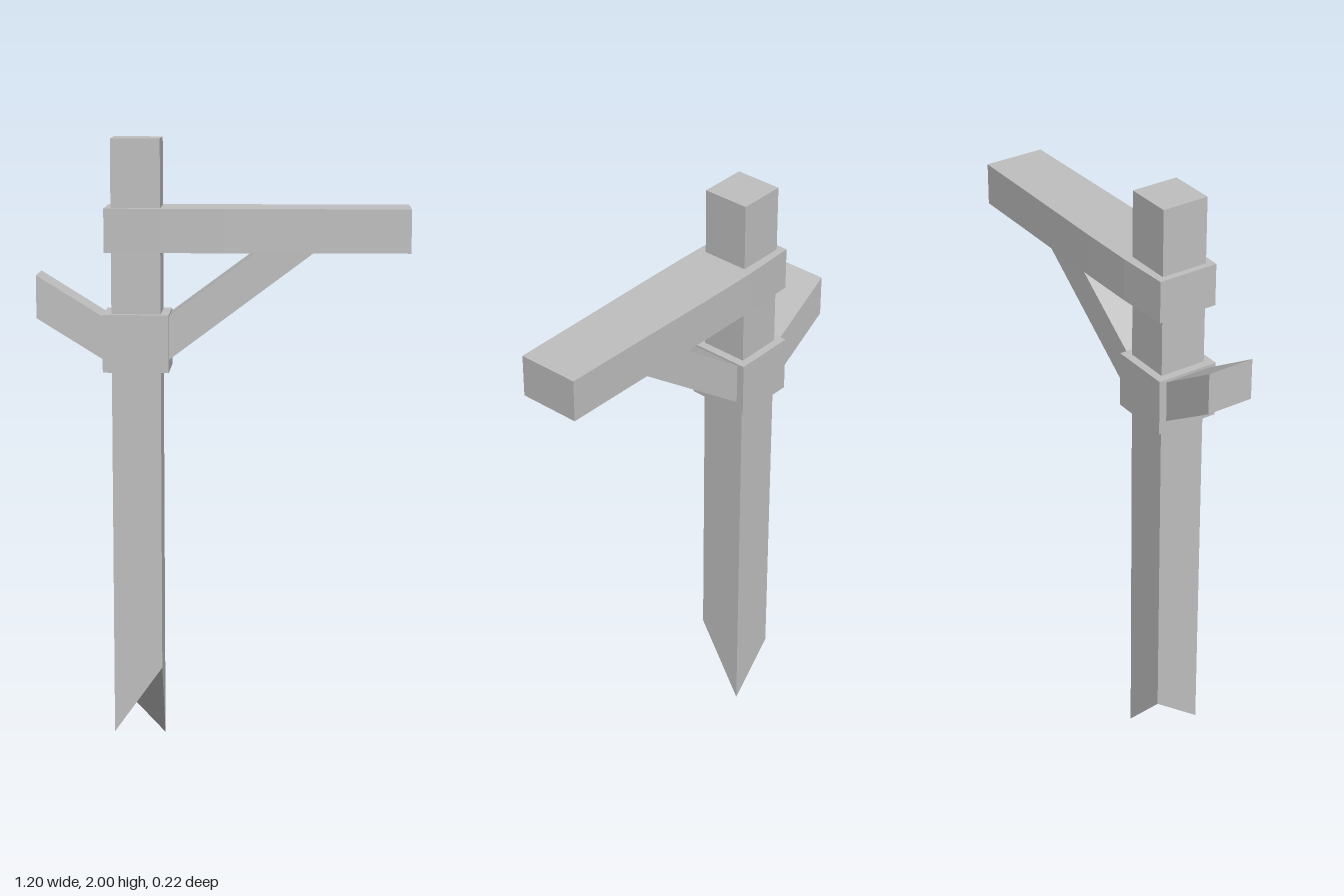
import * as THREE from 'three';

export function createModel() {
  const group = new THREE.Group();
  group.name = 'signpost';
  const wood = new THREE.MeshStandardMaterial({ color: 0xc0c0c0, flatShading: true });
  wood.name = 'plain grey';

  const POST_X = -0.28;
  const HALF = 0.079;

  function add(name, geometry, x = 0, y = 0, z = 0) {
    const mesh = new THREE.Mesh(geometry, wood);
    mesh.name = name;
    mesh.position.set(x, y, z);
    group.add(mesh);
  }

  // Extrudes a polygon of [x, y] points, centred on z = 0
  function prism(points, depth) {
    const shape = new THREE.Shape(points.map(([x, y]) => new THREE.Vector2(x, y)));
    return new THREE.ExtrudeGeometry(shape, { depth, bevelEnabled: false }).translate(0, 0, -depth / 2);
  }

  // Square post, its foot broken off at a different height on each corner
  const post = new THREE.BoxGeometry(HALF * 2, 2, HALF * 2).translate(0, 1, 0);
  const pos = post.attributes.position;
  for (let i = 0; i < pos.count; i++) {
    if (pos.getY(i) > 1) continue;
    const left = pos.getX(i) > 0, front = pos.getZ(i) > 0;
    pos.setY(i, front ? (left ? 0.27 : 0.05) : (left ? 0 : 0.17));
  }
  post.computeVertexNormals();
  add('post', post, POST_X);

  // Sign arm, slightly wider around the post than at its ends
  const outline = [[-0.38, 0.102], [-0.2, 0.109], [0, 0.109], [0.39, 0.104], [0.597, 0.102]];
  const plan = [...outline.map(([x, z]) => [x, -z]), ...outline.slice().reverse()];
  add('arm', prism(plan, 0.14).rotateX(-Math.PI / 2), 0, 1.71);

  // Collar holding the braces
  add('collar', new THREE.BoxGeometry(0.212, 0.186, 0.21), POST_X, 1.348);

  // Long brace reaching the underside of the arm
  add('brace', prism([[-0.18, 1.29], [0.29, 1.64], [0.105, 1.64], [-0.18, 1.43]], HALF * 2));

  // Short broken brace on the other side
  add('brokenBrace', prism([[-0.38, 1.29], [-0.38, 1.428], [-0.6, 1.565], [-0.6, 1.427]], HALF * 2));

  return group;
}
